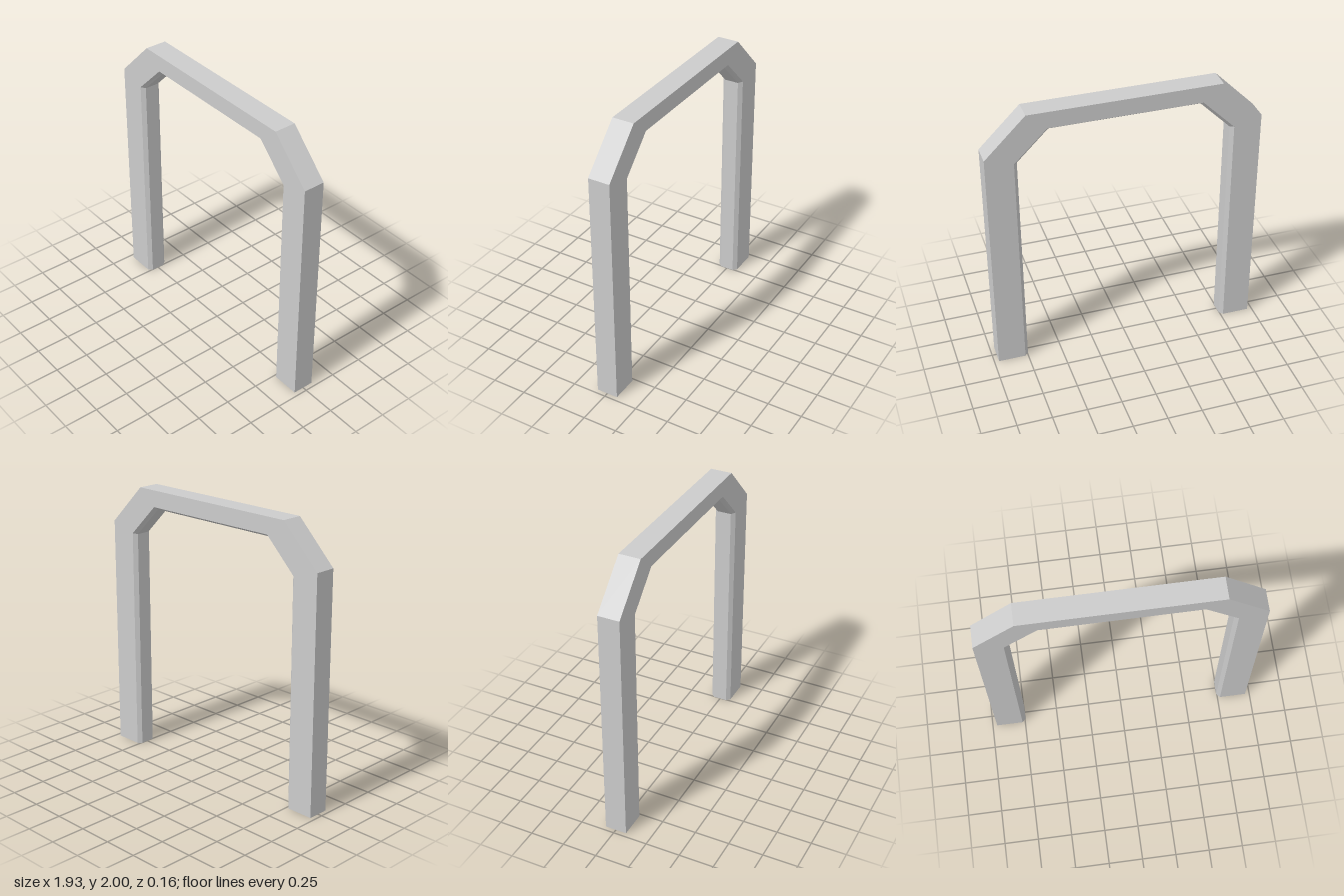
import * as THREE from 'three';

const DEPTH = 0.078; // half depth of the frame
const BEVEL = 0.027; // depth of the chamfer along the inner edges

// Half profiles of the arch: foot, shoulder, top corner (x measured from the centre)
const outer = [[0.967, 0], [0.967, 1.71], [0.678, 2]];
const rim = [[0.77, 0], [0.77, 1.65], [0.538, 1.88]];
const inner = [[0.745, 0], [0.745, 1.643], [0.526, 1.862]];

// Run from the right foot over the top to the left foot
const mirrored = (half) => [
  ...half.map(([x, y]) => [-x, y]),
  ...[...half].reverse(),
];

function archGeometry() {
  const [o, r, n] = [outer, rim, inner].map(mirrored);
  // Six-sided cross-section at every bend
  const rings = o.map((_, i) => [
    [...o[i], DEPTH], [...r[i], DEPTH], [...n[i], DEPTH - BEVEL],
    [...n[i], BEVEL - DEPTH], [...r[i], -DEPTH], [...o[i], -DEPTH],
  ]);
  const positions = [];
  for (let i = 0; i < rings.length - 1; i++) {
    for (let j = 0; j < 6; j++) {
      const k = (j + 1) % 6;
      const a = rings[i][j], b = rings[i][k];
      const c = rings[i + 1][k], d = rings[i + 1][j];
      positions.push(...a, ...b, ...c, ...a, ...c, ...d);
    }
  }
  const geometry = new THREE.BufferGeometry();
  geometry.setAttribute('position', new THREE.Float32BufferAttribute(positions, 3));
  geometry.computeVertexNormals();
  return geometry;
}

export function createModel() {
  const group = new THREE.Group();
  group.name = 'doorFrame';
  // Hollow shell, open at the feet
  const material = new THREE.MeshStandardMaterial({
    color: 0xcccccc, flatShading: true, side: THREE.DoubleSide,
  });
  const frame = new THREE.Mesh(archGeometry(), material);
  frame.name = 'archFrame';
  group.add(frame);
  return group;
}
